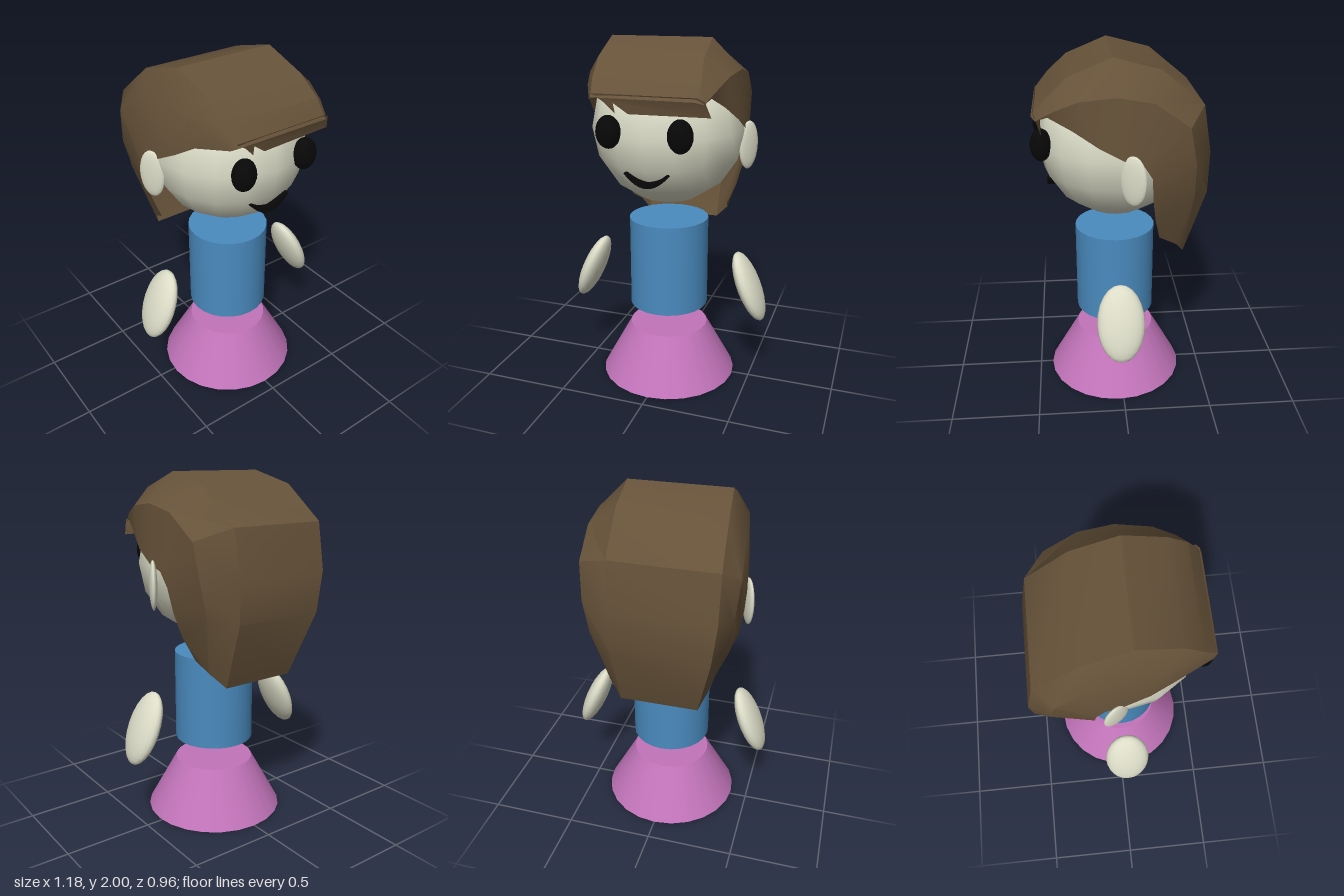
import * as THREE from 'three';
import { toCreasedNormals } from 'three/addons/utils/BufferGeometryUtils.js';

const paint = (color, side = THREE.FrontSide) => new THREE.MeshStandardMaterial({ color, side });

export function createModel() {
  const model = new THREE.Group();
  const skin = paint(0xdcdcc8);
  const hairMat = paint(0x665239, THREE.DoubleSide);
  const black = paint(0x080808);

  function add(name, geometry, material, x, y, z) {
    const mesh = new THREE.Mesh(geometry, material);
    mesh.name = name;
    mesh.position.set(x, y, z);
    model.add(mesh);
    return mesh;
  }

  function ellipsoid(name, material, [x, y, z], [rx, ry, rz], w = 20, h = 12) {
    const geometry = new THREE.SphereGeometry(1, w, h).scale(rx, ry, rz);
    return add(name, geometry, material, x, y, z);
  }

  // Floating body: flared skirt and torso
  add('skirt', new THREE.CylinderGeometry(0.23, 0.4, 0.31, 24), paint(0xc274ba), 0, 0.155, 0.025);
  add('torso', new THREE.CylinderGeometry(0.23, 0.23, 0.535, 24), paint(0x4a8bbf), 0, 0.7125, 0.025);

  // Head
  ellipsoid('head', skin, [0, 1.51, 0.02], [0.43, 0.43, 0.43], 16, 8);

  // Mirrored arms, ears and eyes
  for (const [side, s] of [['left', 1], ['right', -1]]) {
    const arm = ellipsoid(side + 'Arm', skin, [s * 0.49, 0.6, 0.025], [0.06, 0.215, 0.132]);
    arm.rotation.z = s * 0.4;
    const ear = ellipsoid(side + 'Ear', skin, [s * 0.443, 1.42, -0.04], [0.022, 0.135, 0.074]);
    ear.rotation.y = -s * 0.5;
    ellipsoid(side + 'Eye', black, [s * 0.195, 1.54, 0.425], [0.068, 0.088, 0.057]);
  }

  // Smile: thin crescent
  const smile = new THREE.Shape();
  smile.moveTo(-0.125, 1.32);
  smile.quadraticCurveTo(0, 1.17, 0.125, 1.32);
  smile.quadraticCurveTo(0.115, 1.335, 0.1, 1.318);
  smile.quadraticCurveTo(0, 1.235, -0.1, 1.318);
  smile.quadraticCurveTo(-0.115, 1.335, -0.125, 1.32);
  add('mouth', new THREE.ExtrudeGeometry(smile, { depth: 0.04, bevelEnabled: false }), black, 0, 0, 0.362);

  // Hair shell: rows run from the brow over the crown to the nape.
  // Row: z, y of the middle, crease x right/left, shoulder x right/left,
  // shoulder pull-in, hairline y and z, hairline x right/left
  const rows = [
    [0.465, 1.72, -0.27, 0.28, -0.29, 0.32, 0.95, 1.73, 0.38, -0.31, 0.34],
    [0.39, 1.81, -0.29, 0.29, -0.34, 0.36, 0.88, 1.67, 0.26, -0.37, 0.38],
    [0.28, 1.91, -0.3, 0.27, -0.38, 0.39, 0.8, 1.59, 0.13, -0.41, 0.42],
    [0.05, 2.0, -0.32, 0.25, -0.41, 0.41, 0.71, 1.52, 0, -0.43, 0.43],
    [-0.2, 1.93, -0.35, 0.23, -0.43, 0.405, 0.74, 1.5, -0.09, -0.44, 0.43],
    [-0.43, 1.74, -0.37, 0.21, -0.45, 0.39, 0.77, 1.42, -0.14, -0.44, 0.42],
    [-0.475, 1.48, -0.37, 0.2, -0.43, 0.375, 0.78, 1.28, -0.15, -0.42, 0.39],
    [-0.47, 1.25, -0.34, 0.2, -0.38, 0.34, 0.8, 1.15, -0.17, -0.37, 0.35],
    [-0.35, 0.88, -0.25, 0.19, -0.29, 0.27, 0.85, 1.02, -0.2, -0.31, 0.29],
  ];
  const pos = [], index = [], cols = 6;
  rows.forEach(([z, y, cR, cL, sR, sL, k, hy, hz, hR, hL], r) => {
    const sy = 1.45 + (y - 1.45) * k, sz = z * k;
    pos.push(hR, hy, hz, sR, sy, sz, cR, y, z, cL, y, z, sL, sy, sz, hL, hy, hz);
    if (r === rows.length - 1) return;
    for (let c = 0; c < cols - 1; c++) {
      const a = r * cols + c, b = a + cols;
      index.push(a, a + 1, b, a + 1, b + 1, b);
    }
  });
  const shell = new THREE.BufferGeometry();
  shell.setAttribute('position', new THREE.Float32BufferAttribute(pos, 3));
  shell.setIndex(index);
  add('hair', toCreasedNormals(shell, 0.6), hairMat, 0, 0, 0);

  // Jagged fringe hanging in front of the brow, sloping back as it falls
  const outline = [[-0.27, 1.74], [-0.21, 1.7], [-0.15, 1.64], [-0.155, 1.695], [-0.08, 1.64],
    [0.35, 1.64], [0.325, 1.72], [0.29, 1.74]];
  const fringe = new THREE.ShapeGeometry(new THREE.Shape(outline.map(([x, y]) => new THREE.Vector2(x, y))));
  const p = fringe.attributes.position;
  for (let i = 0; i < p.count; i++) {
    p.setZ(i, 0.46 - (1.74 - p.getY(i)) * 0.25 - Math.max(0, p.getX(i) - 0.28) * 0.3);
  }
  fringe.computeVertexNormals();
  add('fringe', fringe, hairMat, 0, 0, 0);

  return model;
}
